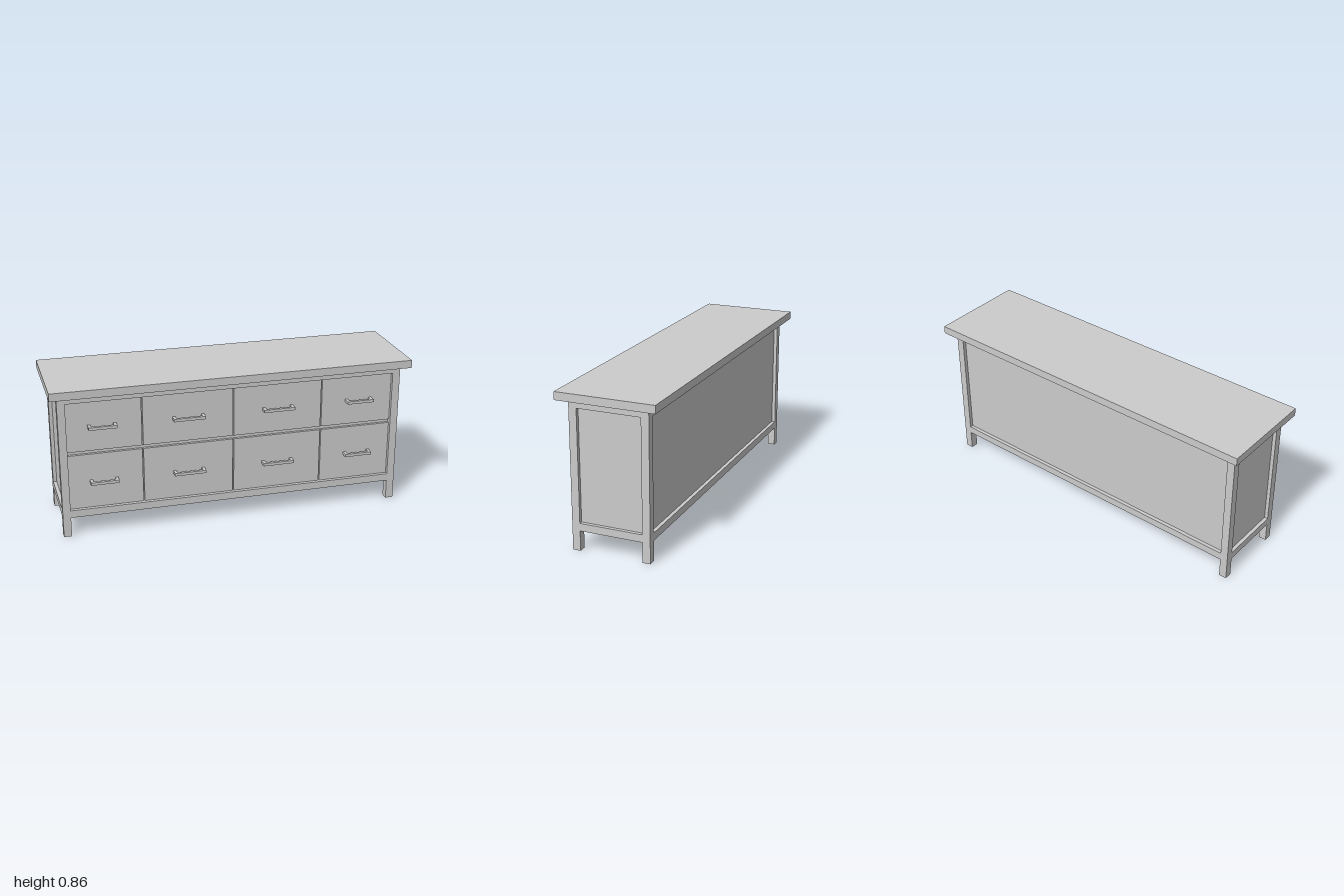
import * as THREE from 'three';

export function createModel() {
  const model = new THREE.Group();
  const mat = new THREE.MeshStandardMaterial({ color: 0xcccccc, flatShading: true });

  // Box given by its min and max on each axis
  function box(name, [x0, x1], [y0, y1], [z0, z1], parent = model) {
    const mesh = new THREE.Mesh(new THREE.BoxGeometry(x1 - x0, y1 - y0, z1 - z0), mat);
    mesh.position.set((x0 + x1) / 2, (y0 + y1) / 2, (z0 + z1) / 2);
    mesh.name = name;
    parent.add(mesh);
  }
  const span = (s, a, b) => (s > 0 ? [a, b] : [-b, -a]);

  const X = 0.957, Z = 0.218, T = 0.043; // frame half width, half depth, bar thickness
  const xi = X - T, zi = Z - T;
  const lowRail = [0.111, 0.153], highRail = [0.768, 0.811];
  const recess = 0.02;

  box('top', [-1, 1], [0.811, 0.855], [-0.273, 0.273]);

  // Corner posts
  for (const sx of [-1, 1]) for (const sz of [-1, 1])
    box('leg', span(sx, xi, X), [0, 0.811], span(sz, zi, Z));

  // Rails around the frame
  for (const s of [-1, 1]) for (const y of [lowRail, highRail]) {
    box(s > 0 ? 'frontRail' : 'backRail', [-xi, xi], y, span(s, zi, Z));
    box('sideRail', span(s, xi, X), y, [-zi, zi]);
  }

  // Recessed panels
  const panelY = [0.153, 0.768];
  for (const s of [-1, 1])
    box('sidePanel', span(s, xi, X - recess), panelY, [-zi, zi]);
  box('backPanel', [-xi, xi], panelY, [-(Z - recess), -zi]);
  box('bottomPanel', [-xi, xi], [0.132, 0.153], [-zi, zi]);
  box('drawerBacking', [-xi, xi], panelY, [zi - 0.01, zi + 0.008]);

  // Drawers, two rows of four, each with a bar handle on two posts
  const front = Z - recess, gap = 0.003;
  const columns = [[-xi, -0.505], [-0.505, 0], [0, 0.505], [0.505, xi]];
  const rows = [{ y: [0.153, 0.465], h: 0.307 }, { y: [0.485, 0.768], h: 0.625 }];
  for (const { y, h } of rows) {
    columns.forEach(([a, b], i) => {
      const drawer = new THREE.Group();
      drawer.name = 'drawer';
      model.add(drawer);
      const x0 = i === 0 ? a : a + gap, x1 = i === 3 ? b : b - gap;
      box('drawerFront', [x0, x1], y, [zi, front], drawer);

      const outer = i === 0 || i === 3;
      const half = outer ? 0.077 : 0.088;
      const side = i < 2 ? -1 : 1;
      const cx = side * (outer ? 0.722 : 0.252);
      const hy = [h - 0.008, h + 0.008];
      box('handleBar', [cx - half, cx + half], hy, [0.226, 0.242], drawer);
      for (const s of [-1, 1]) {
        const px = cx + s * (half - 0.008);
        box('handlePost', [px - 0.008, px + 0.008], hy, [front, 0.226], drawer);
      }
    });
  }
  return model;
}
